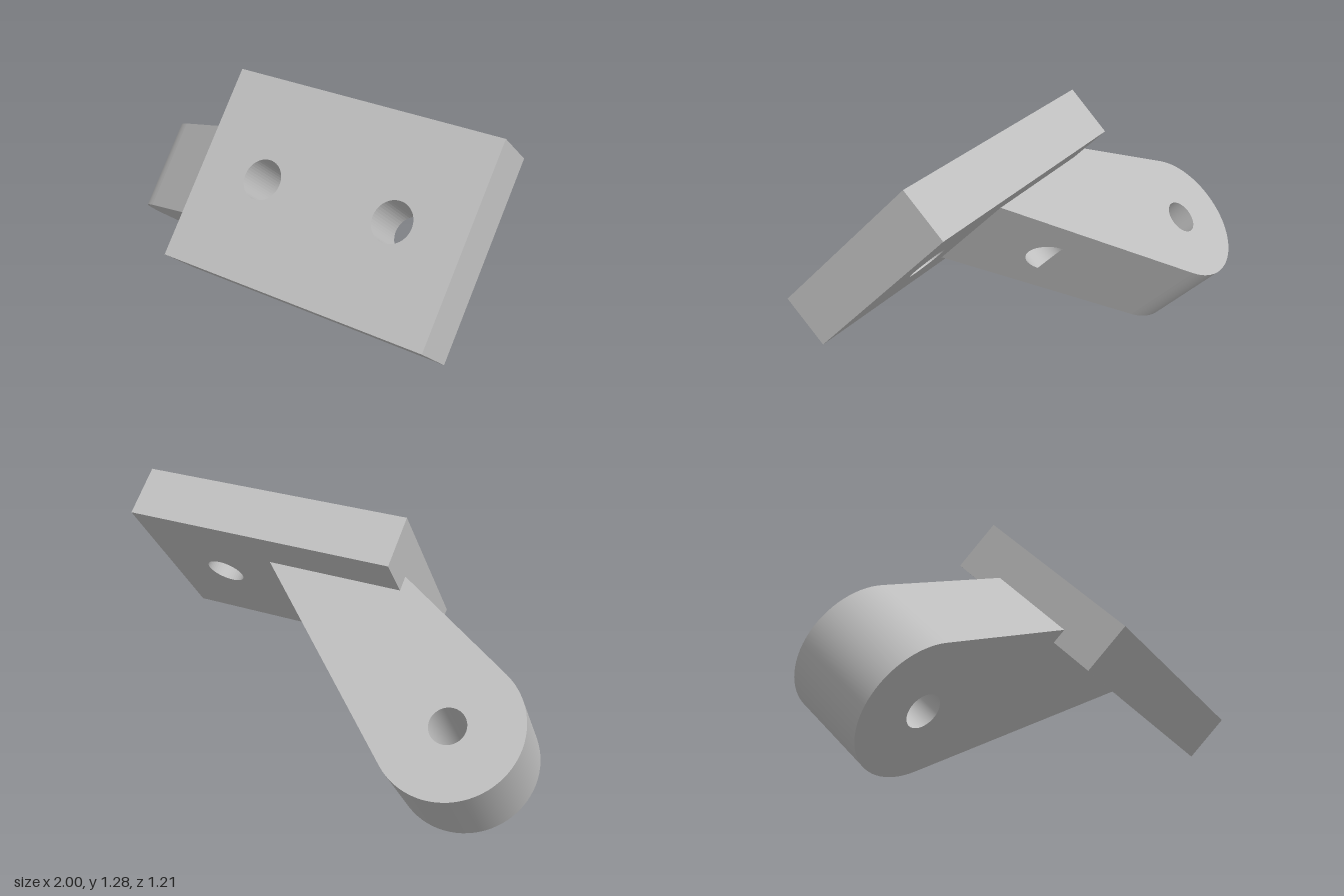
import * as THREE from 'three';

const steel = new THREE.MeshStandardMaterial({ color: 0xc0c0c0, side: THREE.DoubleSide });
steel.name = 'light grey';

// Local frame: x along the plate, y across it, z out of its face; z = 0 is the plate's back.
const LENGTH = 1.258, WIDTH = 0.862, THICK = 0.233;
const BOLT_X = LENGTH / 4, BOLT_R = 0.088;
const ARM_HALF = WIDTH / 4;                       // half thickness of the arm
const EYE = new THREE.Vector2(-1.023, 0.525);     // (x, depth behind the plate)
const EYE_R = 0.313, EYE_HOLE = 0.079;
const ROOT_IN = new THREE.Vector2(0, 0);
const ROOT_OUT = new THREE.Vector2(-LENGTH / 2, -0.068);

function add(group, name, geometry) {
  const mesh = new THREE.Mesh(geometry, steel);
  mesh.name = name;
  group.add(mesh);
  return mesh;
}

// Angle on the eye where the tangent line from p touches
function tangentAngle(p, sign) {
  const d = p.clone().sub(EYE);
  return Math.atan2(d.y, d.x) + sign * Math.acos(EYE_R / d.length());
}

// Wall standing on an outline of (x, depth) points, as thick as the arm
function wall(points) {
  const g = new THREE.PlaneGeometry(1, 1, points.length - 1, 1);
  const pos = g.attributes.position;
  for (let i = 0; i < pos.count; i++) {
    const p = points[i % points.length];
    pos.setXYZ(i, p.x, i < points.length ? ARM_HALF : -ARM_HALF, -p.y);
  }
  g.computeVertexNormals();
  return g;
}

function makePlate() {
  const l = LENGTH / 2, w = WIDTH / 2;
  const shape = new THREE.Shape([[-l, -w], [l, -w], [l, w], [-l, w]].map(p => new THREE.Vector2(...p)));
  for (const s of [-1, 1]) {
    shape.holes.push(new THREE.Path().absarc(s * BOLT_X, 0, BOLT_R, 0, Math.PI * 2, true));
  }
  return new THREE.ExtrudeGeometry(shape, { depth: THICK, bevelEnabled: false, curveSegments: 24 });
}

function makeArm() {
  const arm = new THREE.Group();
  arm.name = 'arm';

  // Rounded end between the two tangent points
  const start = tangentAngle(ROOT_IN, 1);
  const end = tangentAngle(ROOT_OUT, -1) + Math.PI * 2;
  const arc = [];
  for (let i = 0; i <= 40; i++) {
    const t = start + (end - start) * i / 40;
    arc.push(new THREE.Vector2(EYE.x + EYE_R * Math.cos(t), EYE.y + EYE_R * Math.sin(t)));
  }
  add(arm, 'roundedEnd', wall(arc));
  add(arm, 'outerFlank', wall([arc[40], ROOT_OUT]));

  // Broad faces with the eye hole
  const outline = new THREE.Shape([ROOT_IN, ...arc, ROOT_OUT]);
  outline.holes.push(new THREE.Path().absarc(EYE.x, EYE.y, EYE_HOLE, 0, Math.PI * 2, true));
  for (const [name, y] of [['upperFace', ARM_HALF], ['lowerFace', -ARM_HALF]]) {
    add(arm, name, new THREE.ShapeGeometry(outline, 24).rotateX(-Math.PI / 2).translate(0, y, 0));
  }
  const bore = new THREE.CylinderGeometry(EYE_HOLE, EYE_HOLE, ARM_HALF * 2, 48, 1, true);
  add(arm, 'eyeBore', bore).position.set(EYE.x, 0, -EYE.y);

  // Inner flank, cut open where the bolt pocket breaks through
  const run = arc[0].length(), dir = arc[0].clone().normalize();
  const flank = new THREE.Shape([[0, -ARM_HALF], [run, -ARM_HALF], [run, ARM_HALF], [0, ARM_HALF]]
    .map(p => new THREE.Vector2(...p)));
  const notch = [];
  for (let i = 0; i <= 24; i++) {
    const t = -Math.PI / 2 + Math.PI * i / 24;
    notch.push(new THREE.Vector2((-BOLT_X + BOLT_R * Math.cos(t)) / dir.x, BOLT_R * Math.sin(t)));
  }
  flank.holes.push(new THREE.Path(notch));
  add(arm, 'innerFlank', new THREE.ShapeGeometry(flank).rotateY(Math.atan2(dir.y, dir.x)));

  // Bolt pocket: a blind bore trimmed by the inner flank, with half a floor
  const depth = -BOLT_X * dir.y / dir.x;
  const pocket = new THREE.CylinderGeometry(BOLT_R, BOLT_R, 1, 48, 1, true);
  const pos = pocket.attributes.position;
  for (let i = 0; i < pos.count; i++) {
    const x = pos.getX(i) - BOLT_X;
    const z = pos.getY(i) > 0 ? 0 : -Math.min(depth, x * dir.y / dir.x);
    pos.setXYZ(i, x, pos.getZ(i), z);
  }
  pocket.computeVertexNormals();
  add(arm, 'boltPocket', pocket);
  add(arm, 'pocketFloor', new THREE.CircleGeometry(BOLT_R, 24, Math.PI / 2, Math.PI))
    .position.set(-BOLT_X, 0, -depth);
  return arm;
}

export function createModel() {
  const bracket = new THREE.Group();
  bracket.name = 'bracket';
  add(bracket, 'mountingPlate', makePlate());
  bracket.add(makeArm());

  // Tilt the bracket into its resting pose
  const out = new THREE.Vector3(0, 0.685, 0.7285).normalize();
  const along = new THREE.Vector3(0.998, 0.0465, -0.0437).normalize();
  const across = out.clone().cross(along).normalize();
  along.crossVectors(across, out);
  bracket.quaternion.setFromRotationMatrix(new THREE.Matrix4().makeBasis(along, across, out));
  bracket.position.set(0.345, 0.78, 0.11);

  const model = new THREE.Group();
  model.name = 'model';
  model.add(bracket);
  return model;
}
